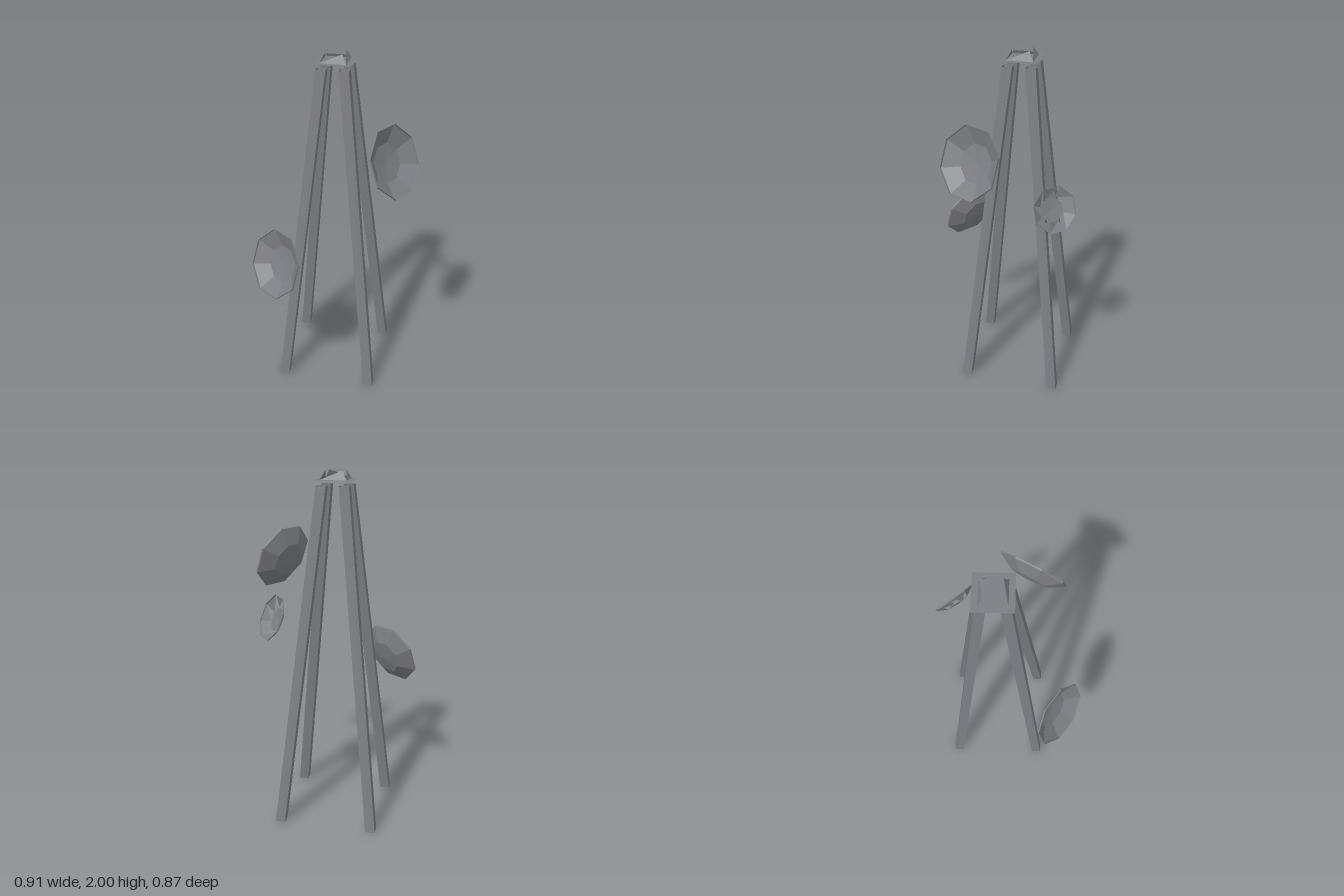
import * as THREE from 'three';

const grey = new THREE.MeshStandardMaterial({ color: 0x7c7d82, side: THREE.DoubleSide, flatShading: true });
grey.name = 'steel grey';

const CX = -0.03, CZ = -0.073; // tower axis

function add(parent, name, geometry) {
  const mesh = new THREE.Mesh(geometry, grey);
  mesh.name = name;
  parent.add(mesh);
  return mesh;
}

function triangles(list) {
  const g = new THREE.BufferGeometry();
  g.setAttribute('position', new THREE.Float32BufferAttribute(list.flat(2), 3));
  g.computeVertexNormals();
  return g;
}

// Open square tube leaning in towards the tower axis
function legGeometry(sx, sz) {
  const height = 1.92, w = 0.055;
  const g = new THREE.BoxGeometry(w, height, w).translate(0, height / 2, 0);
  const index = Array.from(g.index.array);
  g.setIndex([...index.slice(0, 12), ...index.slice(24)]); // leave both ends open
  const p = g.attributes.position;
  for (let i = 0; i < p.count; i++) {
    const offset = THREE.MathUtils.lerp(0.267, 0.0625, p.getY(i) / height);
    p.setX(i, p.getX(i) + sx * offset);
    p.setZ(i, p.getZ(i) + sz * offset);
  }
  g.computeVertexNormals();
  return g;
}

// Eight-sided bowl facing +z; with gaps, half of the outer band is left out
function dishGeometry(R, gaps) {
  const point = (r, z, i) => {
    const a = (i + 0.5) * Math.PI / 4;
    return [r * Math.cos(a), r * Math.sin(a), z];
  };
  const list = [];
  const band = (r0, z0, r1, z1, skip) => {
    for (let i = 0; i < 8; i++) {
      const a = point(r0, z0, i), b = point(r0, z0, i + 1);
      const c = point(r1, z1, i), d = point(r1, z1, i + 1);
      list.push([a, b, d]);
      if (!skip) list.push([a, d, c]);
    }
  };
  const mid = R * 0.54, depth = -R * 0.3;
  band(R, 0, R, -R * 0.05, false);              // rim lip
  band(R, -R * 0.05, mid, depth, gaps);         // outer band
  for (let i = 0; i < 8; i++) {                 // centre
    list.push([point(mid, depth, i), point(mid, depth, i + 1), [0, 0, -R * 0.35]]);
  }
  return triangles(list);
}

export function createModel() {
  const model = new THREE.Group();
  model.name = 'antennaTower';

  const tower = new THREE.Group();
  tower.name = 'tower';
  tower.position.set(CX, 0, CZ);
  model.add(tower);

  // Four legs
  for (const sx of [-1, 1]) for (const sz of [-1, 1]) add(tower, 'leg', legGeometry(sx, sz));

  // Flat platform on top
  add(tower, 'platform', new THREE.PlaneGeometry(0.205, 0.205).rotateX(-Math.PI / 2).translate(0, 1.95, 0));

  // Cap: raised square with one sloping brace per side
  const cap = new THREE.Group();
  cap.name = 'cap';
  tower.add(cap);
  add(cap, 'capTop', new THREE.PlaneGeometry(0.094, 0.094).rotateX(-Math.PI / 2).translate(0, 2, 0));
  const b = 0.072, t = 0.047;
  for (let i = 0; i < 4; i++) {
    const brace = triangles([[[-b, 1.951, b], [b, 1.951, b], [t, 2, t]]]);
    add(cap, 'capBrace', brace.rotateY(i * Math.PI / 2));
  }

  // Dishes: centre, horizontal facing (x, z), upward tilt, radius
  const dishes = [
    ['frontDish', [-0.299, 0.87, 0.309], [-0.58, 0.815], 0.35, 0.198, false],
    ['sideDish', [0.34, 1.485, 0.124], [0.887, 0.462], 0.37, 0.202, false],
    ['smallDish', [0.27, 1.235, -0.328], [0.766, -0.643], 0.4, 0.129, true],
  ];
  for (const [name, centre, [nx, nz], tilt, radius, gaps] of dishes) {
    const dish = add(model, name, dishGeometry(radius, gaps));
    dish.position.set(...centre);
    dish.rotation.set(-tilt, Math.atan2(nx, nz), 0, 'YXZ');
  }
  return model;
}
